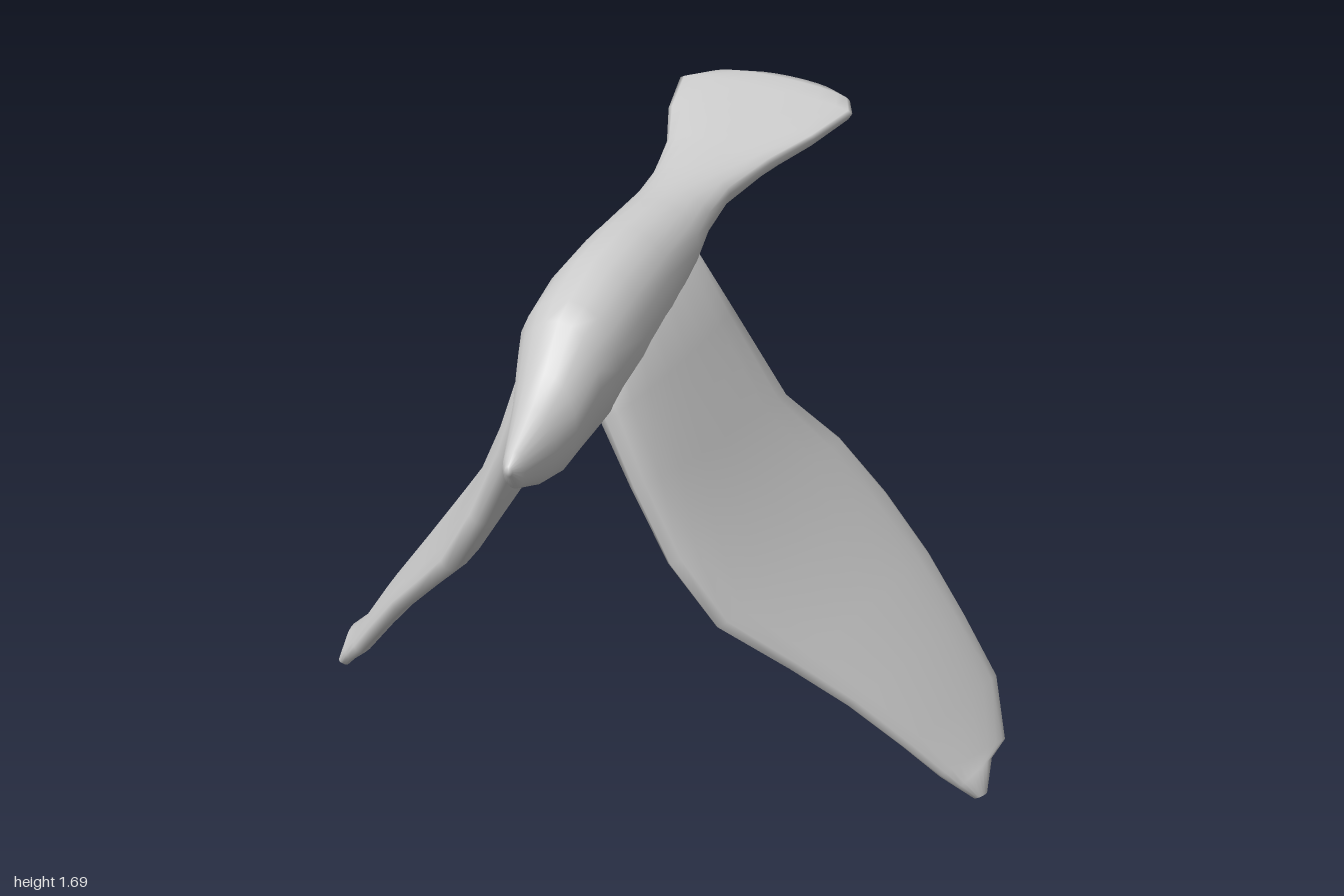
import * as THREE from 'three';

const SIDES = 20;
const V = (x, y, z) => new THREE.Vector3(x, y, z);

// Closed smooth skin through a list of rings, each an array of SIDES points
function loft(name, rings, flip = false) {
  const pos = [], idx = [];
  const tri = (a, b, c) => (flip ? idx.push(a, c, b) : idx.push(a, b, c));
  rings.forEach(r => r.forEach(p => pos.push(p.x, p.y, p.z)));
  for (let i = 0; i < rings.length - 1; i++) {
    for (let j = 0; j < SIDES; j++) {
      const k = (j + 1) % SIDES;
      const a = i * SIDES + j, b = i * SIDES + k, c = a + SIDES, d = b + SIDES;
      tri(a, c, b);
      tri(b, c, d);
    }
  }
  [0, rings.length - 1].forEach(i => {
    const m = rings[i].reduce((s, p) => s.add(p), V(0, 0, 0)).divideScalar(SIDES);
    const centre = pos.length / 3;
    pos.push(m.x, m.y, m.z);
    for (let j = 0; j < SIDES; j++) {
      const a = i * SIDES + j, b = i * SIDES + (j + 1) % SIDES;
      if (i === 0) tri(centre, a, b); else tri(centre, b, a);
    }
  });
  const g = new THREE.BufferGeometry();
  g.setAttribute('position', new THREE.Float32BufferAttribute(pos, 3));
  g.setIndex(idx);
  g.computeVertexNormals();
  const mesh = new THREE.Mesh(g, new THREE.MeshStandardMaterial({ color: 0xcccccc, roughness: 0.8 }));
  mesh.name = name;
  return mesh;
}

// Ring across the body; side is the height (0 to 1) of the widest line
function bodyRing([z, top, bottom, w, cx, side]) {
  const mid = bottom + (top - bottom) * side;
  return Array.from({ length: SIDES }, (_, j) => {
    const a = (j / SIDES) * Math.PI * 2, s = Math.sin(a);
    return V(cx + w * Math.cos(a), mid + s * (s > 0 ? top - mid : mid - bottom), z);
  });
}

// Wing stations: leading edge x y z, trailing edge x y z, half thickness
const WING = [
  [0.03, 1.32, 0.40, 0.03, 1.50, -0.17, 0.09],
  [0.12, 1.16, 0.40, 0.18, 1.27, -0.20, 0.08],
  [0.20, 0.96, 0.38, 0.32, 1.03, -0.25, 0.065],
  [0.30, 0.75, 0.36, 0.43, 0.88, -0.36, 0.06],
  [0.42, 0.57, 0.31, 0.54, 0.72, -0.42, 0.055],
  [0.57, 0.43, 0.18, 0.66, 0.56, -0.44, 0.045],
  [0.70, 0.31, 0.08, 0.77, 0.40, -0.44, 0.04],
  [0.82, 0.18, -0.01, 0.88, 0.25, -0.42, 0.035],
  [0.90, 0.09, -0.07, 0.955, 0.11, -0.33, 0.03],
  [0.94, 0.05, -0.10, 0.975, 0.10, -0.22, 0.025],
  [0.975, 0.015, -0.13, 0.985, 0.02, -0.17, 0.015],
];

function wing(name, side) {
  const lead = WING.map(r => V(r[0], r[1], r[2]));
  const trail = WING.map(r => V(r[3], r[4], r[5]));
  const mid = lead.map((p, i) => p.clone().lerp(trail[i], 0.5));
  const rings = WING.map((r, i) => {
    const chord = lead[i].clone().sub(trail[i]).multiplyScalar(0.5);
    const span = mid[Math.min(i + 1, mid.length - 1)].clone().sub(mid[Math.max(i - 1, 0)]);
    const n = chord.clone().cross(span).normalize();
    return Array.from({ length: SIDES }, (_, j) => {
      const a = (j / SIDES) * Math.PI * 2, c = Math.cos(a), s = Math.sin(a);
      const t = r[6] * Math.sign(s) * Math.abs(s) ** 0.8 * (1 + 0.15 * c);
      const p = mid[i].clone().addScaledVector(chord, c).addScaledVector(n, t);
      return V(p.x * side, Math.max(p.y, 0), p.z);
    });
  });
  return loft(name, rings, side < 0);
}

export function createModel() {
  const group = new THREE.Group();
  group.name = 'bird';

  // Head, back and fanned tail: z, top, bottom, half width, centre x, widest line
  const body = [
    [0.80, 1.15, 1.12, 0.012, 0.04, 0.5],
    [0.76, 1.18, 1.07, 0.035, 0.035, 0.5],
    [0.64, 1.26, 1.035, 0.075, 0.025, 0.5],
    [0.56, 1.33, 1.03, 0.10, 0.02, 0.5],
    [0.47, 1.45, 1.06, 0.13, 0.015, 0.55],
    [0.40, 1.485, 1.09, 0.155, 0.01, 0.55],
    [0.26, 1.55, 1.16, 0.16, 0.01, 0.5],
    [0.08, 1.585, 1.25, 0.15, 0.01, 0.5],
    [-0.10, 1.59, 1.36, 0.135, 0.005, 0.5],
    [-0.19, 1.60, 1.43, 0.12, 0.005, 0.5],
    [-0.30, 1.615, 1.485, 0.12, 0.005, 0.55],
    [-0.44, 1.645, 1.53, 0.16, 0.015, 0.65],
    [-0.57, 1.67, 1.57, 0.225, 0.015, 0.72],
    [-0.71, 1.695, 1.61, 0.265, 0.015, 0.72],
    [-0.77, 1.705, 1.63, 0.21, 0.03, 0.65],
    [-0.80, 1.70, 1.66, 0.14, 0.04, 0.5],
  ];
  group.add(loft('bodyAndTail', body.map(bodyRing)));

  // Downswept wings
  group.add(wing('leftWing', 1), wing('rightWing', -1));
  return group;
}
